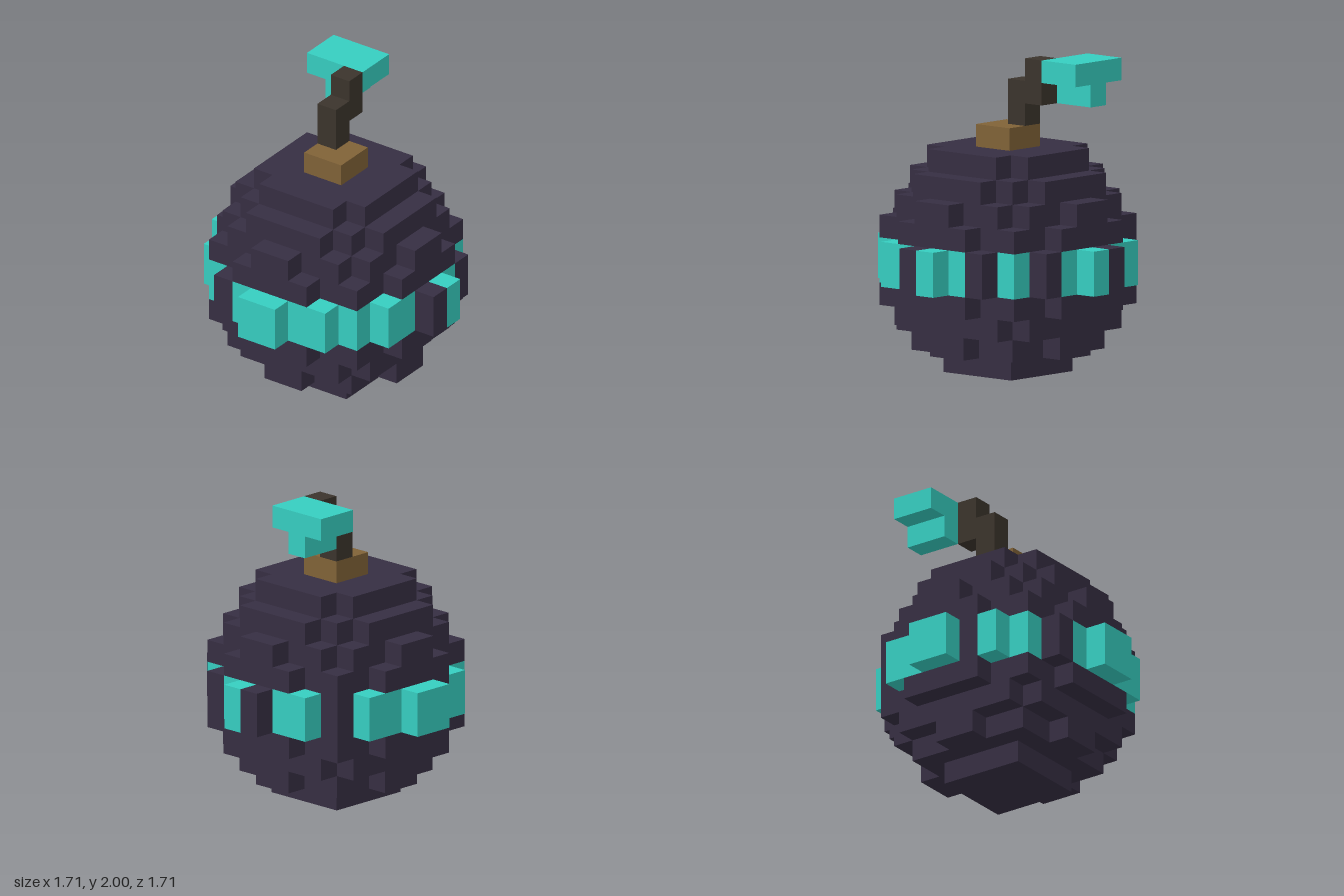
import * as THREE from 'three';

const U = 1 / 7; // edge of one cube

export function createModel() {
  const model = new THREE.Group();
  const mat = (name, color) => new THREE.MeshStandardMaterial({ name, color });
  const shell = mat('dark purple', 0x362e42);
  const glow = mat('turquoise', 0x36cdc0);
  const wood = mat('brown', 0x806237);
  const bark = mat('dark bark', 0x3b342c);

  const add = (parent, name, geometry, material) => {
    const mesh = new THREE.Mesh(geometry, material);
    mesh.name = name;
    parent.add(mesh);
    return mesh;
  };

  // Box between two corners given in cube units
  const block = (parent, name, material, [x0, y0, z0], [x1, y1, z1]) => {
    const g = new THREE.BoxGeometry((x1 - x0) * U, (y1 - y0) * U, (z1 - z0) * U);
    g.translate((x0 + x1) / 2 * U, (y0 + y1) / 2 * U, (z0 + z1) / 2 * U);
    return add(parent, name, g, material);
  };

  // Stepped disc: half widths of the rows going out from the middle, mirrored four ways
  const steppedDisc = (halfWidths, height) => {
    const quarter = [];
    halfWidths.forEach((w, i) => {
      if (i === 0) quarter.push([w, 0]);
      else if (w !== halfWidths[i - 1]) quarter.push([halfWidths[i - 1], i], [w, i]);
    });
    quarter.push([halfWidths.at(-1), halfWidths.length]);
    quarter.shift(); // the middle point lies on a straight side
    const mirror = (sx, sy) => quarter.map(([x, y]) => new THREE.Vector2(x * sx * U, y * sy * U));
    const outline = [
      ...mirror(1, 1), ...mirror(-1, 1).reverse(),
      ...mirror(-1, -1), ...mirror(1, -1).reverse(),
    ];
    const g = new THREE.ExtrudeGeometry(new THREE.Shape(outline), { depth: height * U, bevelEnabled: false });
    return g.rotateX(-Math.PI / 2);
  };

  // Round body, layer by layer: bottom, height, row half widths
  const body = new THREE.Group();
  body.name = 'body';
  model.add(body);
  const layers = [
    [0, 1, [2, 2]],
    [1, 1, [4, 3, 3, 1]],
    [2, 1, [4, 4, 4, 3]],
    [3, 1, [5, 5, 4, 4, 2]],
    [4, 2, [5, 4, 4, 3, 1]],
    [6, 1, [5, 5, 4, 4, 2]],
    [7, 1, [5, 4, 4, 3, 1]],
    [8, 1, [4, 4, 3, 2]],
    [9, 1, [3, 3, 2]],
  ];
  for (const [y, h, rows] of layers) {
    add(body, 'bodyLayer', steppedDisc(rows, h), shell).position.y = y * U;
  }

  // Ring around the middle: 1 is a glowing cell, 0 a dark one, from the side to the front or back
  const band = new THREE.Group();
  band.name = 'band';
  model.add(band);
  const cells = [[5, 0], [4, 1], [4, 2], [3, 3], [2, 4], [1, 4], [0, 5]];
  const quadrants = [[1, 1, '1101011'], [-1, 1, '1111110'], [1, -1, '0110111'], [-1, -1, '1101101']];
  for (const [sx, sz, pattern] of quadrants) {
    cells.forEach(([cx, cz], i) => {
      const x = sx > 0 ? cx : -cx - 1;
      const z = sz > 0 ? cz : -cz - 1;
      const lit = pattern[i] === '1';
      block(band, lit ? 'glowingCell' : 'darkCell', lit ? glow : shell, [x, 4, z], [x + 1, 6, z + 1]);
    });
  }

  // Cap and bent stem
  block(model, 'stemBase', wood, [-1, 10, -1], [1, 11, 1]);
  block(model, 'lowerStem', bark, [0, 11, -1], [1, 13, 0]);
  block(model, 'upperStem', bark, [1, 12, -1], [2, 14, 0]);

  // Leaf
  block(model, 'leafTop', glow, [2, 13, -3], [4, 14, 0]);
  block(model, 'leafUnderside', glow, [2, 12, -2], [4, 13, -1]);

  return model;
}
